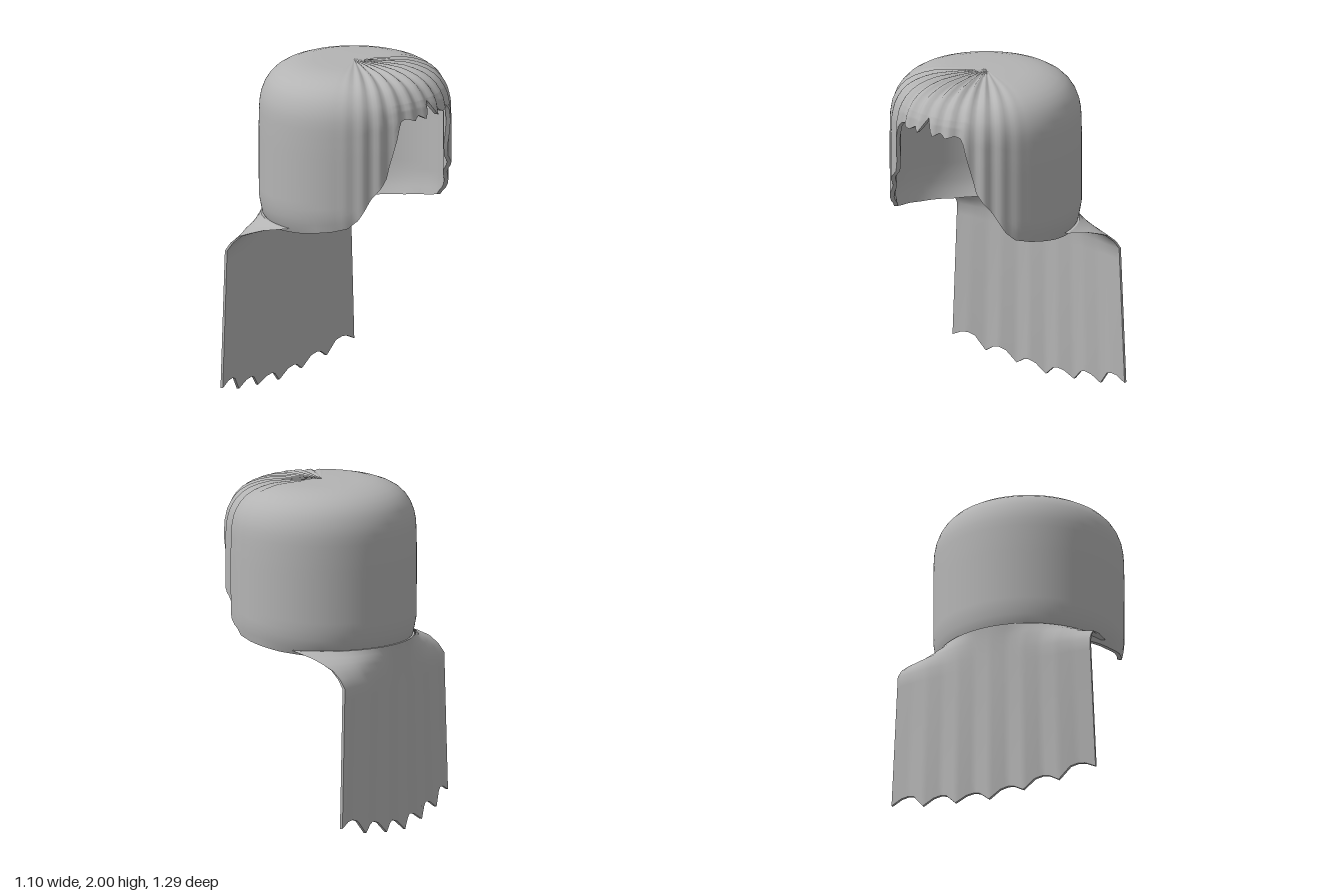
import * as THREE from 'three';
import { mergeGeometries } from 'three/addons/utils/BufferGeometryUtils.js';

// piecewise linear lookup in [[key, value], ...] with rising keys
function lookup(keys, k) {
  for (let i = 1; i < keys.length; i++) {
    const [k0, v0] = keys[i - 1], [k1, v1] = keys[i];
    if (k <= k1) return v0 + (v1 - v0) * Math.max(0, (k - k0) / (k1 - k0));
  }
  return keys[keys.length - 1][1];
}

const lerp = THREE.MathUtils.lerp;

// grid surface through fn(u, v); its front faces du x dv
function sheet(nu, nv, fn, flip = false, closed = false) {
  const positions = [], index = [];
  const cols = closed ? nu : nu + 1;
  for (let j = 0; j <= nv; j++) {
    for (let i = 0; i < cols; i++) positions.push(...fn(i / nu, j / nv));
  }
  for (let j = 0; j < nv; j++) {
    for (let i = 0; i < nu; i++) {
      const a = j * cols + i, b = j * cols + (i + 1) % cols;
      const c = a + cols, d = b + cols;
      if (flip) index.push(a, c, b, b, c, d);
      else index.push(a, b, c, b, d, c);
    }
  }
  const geometry = new THREE.BufferGeometry();
  geometry.setAttribute('position', new THREE.Float32BufferAttribute(positions, 3));
  geometry.setIndex(index);
  geometry.computeVertexNormals();
  return geometry;
}

// thick skin: outer face, inner face and the edges between them
function shell(nu, nv, surface, closed) {
  const skin = (inside) => (u, v) => surface(u, v, inside);
  const parts = [
    sheet(nu, nv, skin(0), false, closed),
    sheet(nu, nv, skin(1), true, closed),
    sheet(nu, 1, (u, s) => surface(u, 1, s), false, closed),
  ];
  if (!closed) {
    parts.push(sheet(nu, 1, (u, s) => surface(u, 0, s), true));
    parts.push(sheet(nv, 1, (v, s) => surface(0, v, s), false));
    parts.push(sheet(nv, 1, (v, s) => surface(1, v, s), true));
  }
  return mergeGeometries(parts);
}

// rim height of the cap by degrees away from the face opening (+x)
const RIM = [[0, 1.85], [4, 1.775], [6, 1.75], [10, 1.775], [14, 1.75], [20, 1.77],
  [24, 1.76], [26, 1.73], [34, 1.43], [44, 1.31], [52, 1.19], [58, 1.14],
  [68, 1.115], [90, 1.08], [117, 1.055], [180, 1.05]];
// crown rows and the side radius by height
const CROWN = [[0.001, 2], [0.08, 2], [0.15, 2], [0.23, 1.998], [0.3, 1.994], [0.36, 1.98],
  [0.41, 1.962], [0.455, 1.935], [0.49, 1.9], [0.515, 1.86]];
const SIDE = [[1.04, 0.49], [1.1, 0.527], [1.2, 0.547], [1.6, 0.548], [1.75, 0.545],
  [1.82, 0.532], [1.86, 0.515]];
const SIDE_ROWS = 16;
const CAP_ROWS = CROWN.length - 1 + SIDE_ROWS;

function capPoint(u, v, inside) {
  const angle = u * Math.PI * 2;
  const degrees = Math.min(u, 1 - u) * 360;
  const row = Math.round(v * CAP_ROWS);
  let r, y;
  if (row < CROWN.length) [r, y] = CROWN[row];
  else {
    y = lerp(1.86, lookup(RIM, degrees), (row - CROWN.length + 1) / SIDE_ROWS);
    r = lookup(SIDE, y);
  }
  // flutes fanning out over the brow
  const fade = THREE.MathUtils.smoothstep(70 - degrees, 0, 35) * Math.min(1, r / 0.35);
  const flute = 0.011 * fade * -Math.cos(degrees / 11 * Math.PI * 2);
  const lift = THREE.MathUtils.clamp((y - 1.75) / 0.25, 0, 1);
  r += flute * (1 - lift * 0.6) * Math.min(1, r / 0.2);
  y += (flute - 0.008 * fade) * lift;
  if (inside) {
    r *= 0.955;
    y -= 0.025 * lift;
  }
  return [r * Math.cos(angle), y, r * Math.sin(angle)];
}

// hem height and depth of the folds by distance from the middle (0 to 1)
const HEM = [[0, 0], [0.1, 0.055], [0.167, 0.07], [0.233, 0.06], [0.333, 0.02], [0.433, 0.085],
  [0.5, 0.1], [0.567, 0.09], [0.667, 0.05], [0.767, 0.13], [0.833, 0.145],
  [0.9, 0.14], [1, 0.11]];
const FOLDS = [[0, -0.545], [0.167, -0.518], [0.333, -0.54], [0.5, -0.508], [0.667, -0.52],
  [0.833, -0.488], [1, -0.48]];
// collar rows: height and how far the arc has straightened
const COLLAR = [[1.095, 0], [1.065, 0.4], [1.04, 0.6], [1.015, 0.77], [0.97, 0.91], [0.92, 1]];
const DROP_ROWS = 12;
const CAPE_ROWS = COLLAR.length - 1 + DROP_ROWS;

function capePoint(u, v, inside) {
  const q = 1 - 2 * u, side = Math.abs(q);
  const row = Math.round(v * CAPE_ROWS);
  let y, straight = 1, t = 0;
  if (row < COLLAR.length) [y, straight] = COLLAR[row];
  else {
    t = (row - COLLAR.length + 1) / DROP_ROWS;
    y = lerp(0.92, lookup(HEM, side), t);
  }
  const turn = Math.PI - q * THREE.MathUtils.degToRad(80);
  const radius = inside ? 0.505 : 0.535;
  const flatX = lerp(-0.525 + 0.05 * q * q, lookup(FOLDS, side), 0.3 + 0.7 * t)
    + (inside ? 0.016 : 0);
  return [
    lerp(radius * Math.cos(turn), flatX, straight),
    y,
    lerp(radius * Math.sin(turn), q * lerp(0.607, 0.645, t), straight),
  ];
}

export function createModel() {
  const grey = new THREE.MeshStandardMaterial({ color: 0xb4b4b4 });
  grey.name = 'grey';
  const group = new THREE.Group();
  group.name = 'hood';

  // rounded cap with a face opening
  const cap = new THREE.Mesh(shell(180, CAP_ROWS, capPoint, true), grey);
  cap.name = 'cap';

  // scalloped neck cape hanging from the back
  const cape = new THREE.Mesh(shell(60, CAPE_ROWS, capePoint, false), grey);
  cape.name = 'neckCape';

  group.add(cap, cape);
  return group;
}
